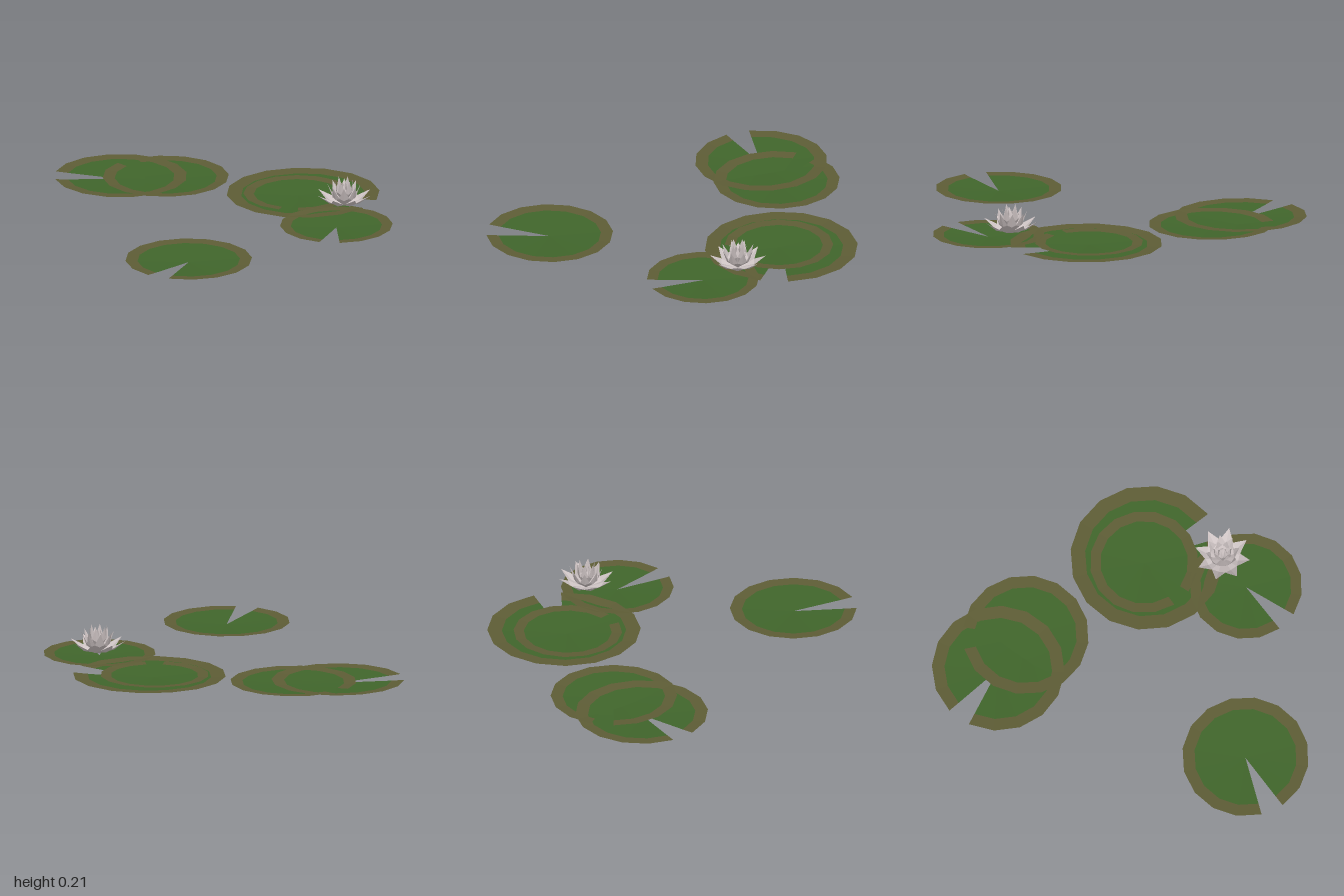
import * as THREE from 'three';

const mat = (name, color) => {
  const m = new THREE.MeshStandardMaterial({ color, side: THREE.DoubleSide, flatShading: true });
  m.name = name;
  return m;
};

// Flat-shaded mesh from a list of triangle corners [x, y, z]
function facets(name, corners, material) {
  const g = new THREE.BufferGeometry();
  g.setAttribute('position', new THREE.Float32BufferAttribute(corners.flat(), 3));
  g.computeVertexNormals();
  const mesh = new THREE.Mesh(g, material);
  mesh.name = name;
  return mesh;
}

// Shallow dished leaf with a wedge notch pointing along notchDeg
function lilyPad(name, x, z, r, notchDeg, green, olive) {
  const SEGMENTS = 15, GAP = 21;
  const rimY = 0.021, depth = 0.052 * r;
  const point = (i, k) => {
    const a = THREE.MathUtils.degToRad(notchDeg + GAP / 2 + (i * (360 - GAP)) / SEGMENTS);
    return [Math.cos(a) * r * k, rimY - depth * (1 - Math.pow(k, 1.3)), Math.sin(a) * r * k];
  };
  const centre = [0, rimY - depth, 0];
  const inner = [], rim = [];
  for (let i = 0; i < SEGMENTS; i++) {
    const a = point(i, 0.81), b = point(i + 1, 0.81);
    const c = point(i, 1), d = point(i + 1, 1);
    inner.push(centre, b, a);
    rim.push(a, b, d, a, d, c);
  }
  const pad = new THREE.Group();
  pad.name = name;
  pad.add(facets('leafCentre', inner, green), facets('leafRim', rim, olive));
  pad.position.set(x, 0, z);
  return pad;
}

// Ring of pointed, creased petals around the flower axis
function petalRing(name, count, turn, belly, tip, halfWidth, material) {
  const corners = [];
  for (let i = 0; i < count; i++) {
    const a = ((i + turn) / count) * Math.PI * 2, c = Math.cos(a), s = Math.sin(a);
    const at = (r, y, w) => [c * r - s * w, y, s * r + c * w];
    const base = at(0, 0, 0), mid = at(belly[0], belly[1], 0), end = at(tip[0], tip[1], 0);
    const left = at(belly[0], belly[1] + 0.012, -halfWidth);
    const right = at(belly[0], belly[1] + 0.012, halfWidth);
    corners.push(base, mid, left, base, right, mid, left, mid, end, mid, right, end);
  }
  return facets(name, corners, material);
}

export function createModel() {
  const model = new THREE.Group();
  model.name = 'waterLilies';
  const green = mat('leafGreen', 0x40652b);
  const olive = mat('rimOlive', 0x5d5c35);
  const white = mat('petalWhite', 0xcdc3c3);

  // Floating leaves: x, z, radius, notch direction
  const pads = [
    ['leftPad', -0.652, -0.455, 0.35, 158],
    ['leftOverlappingPad', -0.432, -0.54, 0.333, 208],
    ['largePad', 0.337, -0.578, 0.404, 4.4],
    ['stackedPad', 0.312, -0.565, 0.286, 77],
    ['flowerPad', 0.7, -0.173, 0.297, 74],
    ['frontPad', 0.203, 0.643, 0.334, 96],
  ];
  for (const [name, x, z, r, notch] of pads) model.add(lilyPad(name, x, z, r, notch, green, olive));

  // Blossom, from spreading outer petals to the upright heart
  const flower = new THREE.Group();
  flower.name = 'flower';
  flower.add(
    petalRing('outerPetals', 8, 0, [0.085, 0.022], [0.148, 0.072], 0.037, white),
    petalRing('middlePetals', 8, 0.5, [0.06, 0.045], [0.088, 0.122], 0.027, white),
    petalRing('innerPetals', 6, 0.5, [0.04, 0.07], [0.047, 0.148], 0.022, white),
    petalRing('heartPetals', 5, 0, [0.024, 0.07], [0.012, 0.125], 0.014, white),
  );
  flower.position.set(0.667, 0.065, -0.355);
  model.add(flower);
  return model;
}
